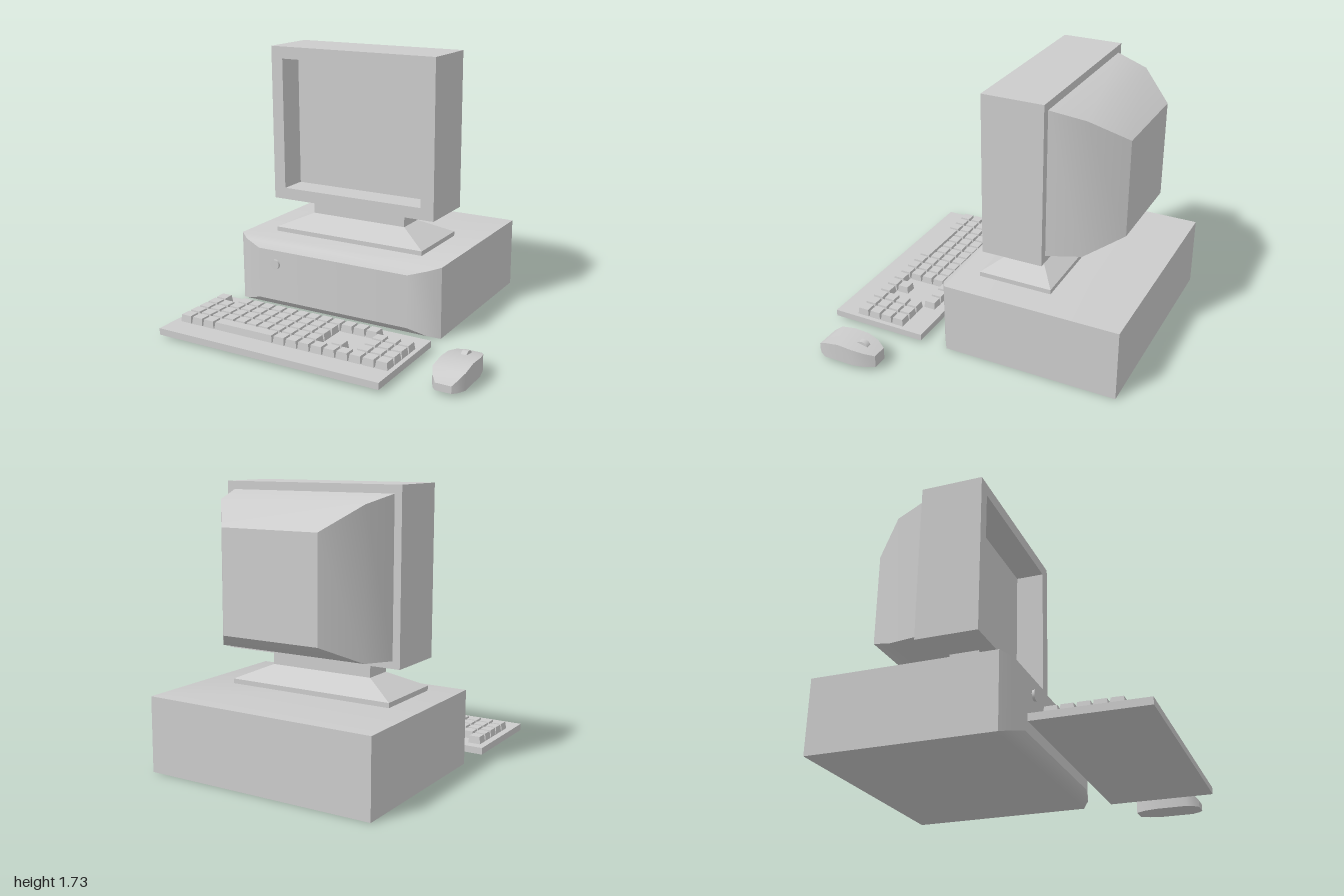
import * as THREE from 'three';
import { toCreasedNormals } from 'three/addons/utils/BufferGeometryUtils.js';

const material = new THREE.MeshStandardMaterial({ color: 0xcccccc });

function add(parent, name, geometry, x = 0, y = 0, z = 0) {
  const mesh = new THREE.Mesh(geometry, material);
  mesh.name = name;
  mesh.position.set(x, y, z);
  parent.add(mesh);
  return mesh;
}

// Box given by its limits on each axis
function block(parent, name, x0, x1, y0, y1, z0, z1) {
  return add(parent, name, new THREE.BoxGeometry(x1 - x0, y1 - y0, z1 - z0),
    (x0 + x1) / 2, (y0 + y1) / 2, (z0 + z1) / 2);
}

// Joins rectangles [z, x0, x1, y0, y1], listed with rising z, into a closed solid
function loft(sections, crease = 0.7) {
  const points = [], index = [];
  for (const [z, x0, x1, y0, y1] of sections) {
    points.push(x0, y0, z, x1, y0, z, x1, y1, z, x0, y1, z);
  }
  const last = (sections.length - 1) * 4;
  for (let s = 0; s < last; s += 4) {
    for (let i = 0; i < 4; i++) {
      const a = s + i, b = s + (i + 1) % 4;
      index.push(a, b, b + 4, a, b + 4, a + 4);
    }
  }
  index.push(0, 2, 1, 0, 3, 2, last, last + 1, last + 2, last, last + 2, last + 3);
  const geometry = new THREE.BufferGeometry();
  geometry.setAttribute('position', new THREE.Float32BufferAttribute(points, 3));
  geometry.setIndex(index);
  return toCreasedNormals(geometry.toNonIndexed(), crease);
}

// Same, stacked upwards: [y, x0, x1, -z front, -z back]
const stack = (sections, crease) => loft(sections, crease).rotateX(-Math.PI / 2);

function buildComputer(root) {
  const computer = new THREE.Group();
  computer.name = 'computer';
  root.add(computer);
  add(computer, 'case', loft([
    [-1, -0.96, 0.55, 0, 0.47],
    [0.16, -0.96, 0.55, 0, 0.47],
    [0.21, -0.89, 0.475, 0.022, 0.448],
    [0.24, -0.77, 0.35, 0.06, 0.41],
  ], 0.6));
  add(computer, 'powerButton', new THREE.CylinderGeometry(0.033, 0.033, 0.03, 24).rotateX(Math.PI / 2),
    -0.635, 0.315, 0.24);
}

function buildMonitor(root) {
  const monitor = new THREE.Group();
  monitor.name = 'monitor';
  root.add(monitor);

  // Foot plate, sloping skirt and neck
  block(monitor, 'standPlate', -0.77, 0.34, 0.47, 0.5, -0.47, 0.02);
  add(monitor, 'standSkirt', stack([
    [0.5, -0.77, 0.34, -0.02, 0.47],
    [0.59, -0.56, 0.135, 0.13, 0.32],
  ], 0.3));
  block(monitor, 'standNeck', -0.56, 0.135, 0.59, 0.69, -0.32, -0.13);

  // Bezel with a deep opening, closed by the screen behind it
  const rect = (target, x0, x1, y0, y1) => target
    .moveTo(x0, y0).lineTo(x1, y0).lineTo(x1, y1).lineTo(x0, y1).closePath();
  const frame = rect(new THREE.Shape(), -0.815, 0.395, 0.69, 1.73);
  frame.holes.push(rect(new THREE.Path(), -0.73, 0.303, 0.768, 1.65));
  add(monitor, 'bezel', new THREE.ExtrudeGeometry(frame, { depth: 0.19, bevelEnabled: false }), 0, 0, -0.22);
  block(monitor, 'screenHousing', -0.815, 0.395, 0.69, 1.73, -0.43, -0.22);

  // Tapered tube cover
  add(monitor, 'tubeCover', loft([
    [-0.855, -0.535, 0.11, 0.86, 1.485],
    [-0.645, -0.708, 0.28, 0.752, 1.63],
    [-0.43, -0.768, 0.342, 0.735, 1.68],
  ]));
}

function buildKeyboard(root) {
  const keyboard = new THREE.Group();
  keyboard.name = 'keyboard';
  root.add(keyboard);
  block(keyboard, 'keyboardBase', -1, 0.57, 0.017, 0.06, 0.338, 0.995);

  const pitch = 0.0885;
  const keyShape = (span) => {
    const w = (span * pitch - 0.007) / 2, d = (pitch - 0.007) / 2, t = 0.006;
    return stack([[0, -w, w, -d, d], [0.046, t - w, w - t, t - d, d - t]], 0.3);
  };
  const keyGeometry = keyShape(1);
  // Each row lists its keys by column; dots are gaps, equals signs hold the space bar
  const rows = [
    'k.kkkkkkkkkkkk...',
    'kkkkkkkkkkk...kkk',
    'kkkkkkkkkkk...kkk',
    'kkkkkkkkkkk.k.kkk',
    'kkk=====kkkkkkkkk',
  ];
  const columnX = (c) => -0.916 + c * pitch;
  rows.forEach((row, r) => [...row].forEach((cell, c) => {
    if (cell === 'k') add(keyboard, 'key', keyGeometry, columnX(c), 0.06, 0.445 + r * pitch);
  }));
  add(keyboard, 'spaceBar', keyShape(5), columnX(5), 0.06, 0.445 + 4 * pitch);
}

function buildMouse(root) {
  const mouse = new THREE.Group();
  mouse.name = 'mouse';
  mouse.position.x = 0.897;
  root.add(mouse);
  // Half width and top height along the length
  const profile = [
    [0.44, 0.05, 0.105], [0.5, 0.083, 0.125], [0.58, 0.101, 0.14], [0.68, 0.101, 0.147],
    [0.785, 0.101, 0.13], [0.83, 0.077, 0.1], [0.857, 0.05, 0.07],
  ];
  add(mouse, 'mouseBody', loft(profile.map(([z, w, top]) => [z, -w, w, 0.025, top])));
  add(mouse, 'scrollWheel', new THREE.CylinderGeometry(0.045, 0.045, 0.036, 20).rotateZ(Math.PI / 2),
    0, 0.111, 0.557);
}

export function createModel() {
  const root = new THREE.Group();
  root.name = 'desktopComputer';
  buildComputer(root);
  buildMonitor(root);
  buildKeyboard(root);
  buildMouse(root);
  return root;
}
